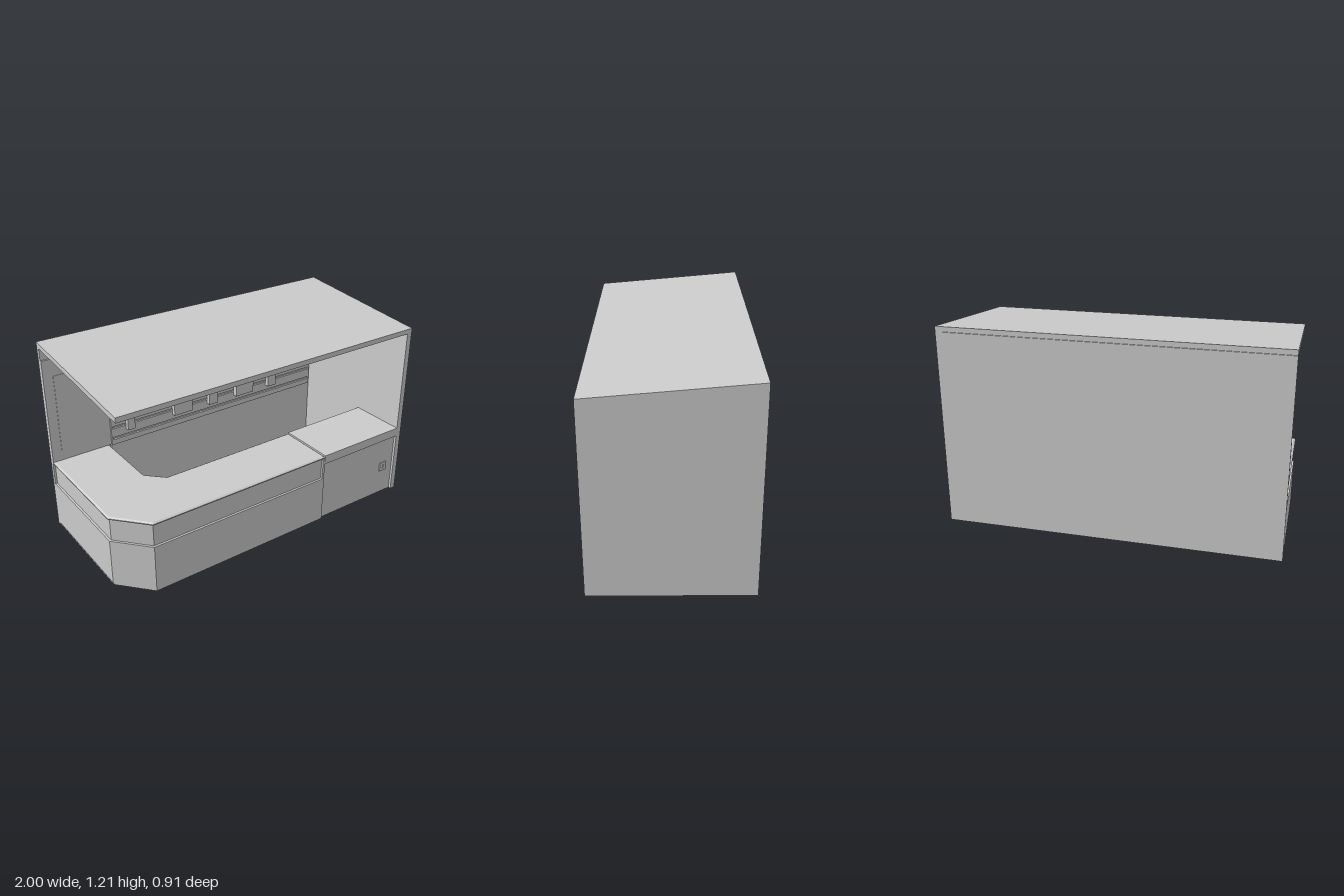
import * as THREE from 'three';

const grey = new THREE.MeshStandardMaterial({ color: 0xcccccc, flatShading: true });

function add(parent, name, geometry) {
  const mesh = new THREE.Mesh(geometry, grey);
  mesh.name = name;
  parent.add(mesh);
  return mesh;
}

// Box given by its extents on each axis
function box(parent, name, x0, x1, y0, y1, z0, z1) {
  const mesh = add(parent, name, new THREE.BoxGeometry(x1 - x0, y1 - y0, z1 - z0));
  mesh.position.set((x0 + x1) / 2, (y0 + y1) / 2, (z0 + z1) / 2);
  return mesh;
}

// Floor plan of [x, z] points raised from y0 to y1, optionally bevelled
function plan(parent, name, points, y0, y1, bevel = 0) {
  const shape = new THREE.Shape(points.map(([x, z]) => new THREE.Vector2(x, -z)));
  const t = bevel / 2;
  const geometry = new THREE.ExtrudeGeometry(shape, {
    depth: y1 - y0 - 2 * t, bevelEnabled: bevel > 0, bevelSegments: 1,
    bevelSize: bevel, bevelOffset: -bevel, bevelThickness: t,
  });
  geometry.rotateX(-Math.PI / 2).translate(0, y0 + t, 0);
  return add(parent, name, geometry);
}

// Side profile of [z, y] points stretched from x0 to x1
function profile(parent, name, points, x0, x1) {
  const shape = new THREE.Shape(points.map(([z, y]) => new THREE.Vector2(z, y)));
  const geometry = new THREE.ExtrudeGeometry(shape, { depth: x1 - x0, bevelEnabled: false });
  geometry.rotateY(-Math.PI / 2).translate(x1, 0, 0);
  return add(parent, name, geometry);
}

const F = 0.457;      // front and back limit
const WALL = -0.43;   // inside of the back wall
const SIDE = 0.965;   // inside of the side wall

// L-shaped counter outline; inset pulls in the outer faces
function outer(inset, endX) {
  const c = inset * 0.4;
  return [[-1 + inset, WALL], [-1 + inset, 0.27 - c], [-0.83 + c, F - inset], [endX, F - inset]];
}
const inner = [[0.36, 0.1], [-0.53, 0.1], [-0.63, 0], [-0.63, WALL]];
// Inner outline with shallow recesses in both staff-side faces
const innerRecessed = [
  [0.36, 0.1], [0.33, 0.1], [0.33, 0.155], [-0.5, 0.155], [-0.5, 0.1], [-0.53, 0.1],
  [-0.63, 0], [-0.63, -0.03], [-0.685, -0.03], [-0.685, -0.39], [-0.63, -0.39], [-0.63, WALL],
];

function buildShell(group) {
  box(group, 'backWall', -1, SIDE, 0, 1.178, -F, WALL);
  profile(group, 'sideWall', [[-F, 0], [F, 0], [F, 1.1], [-F, 1.18]], SIDE, 1);
  profile(group, 'roof', [[-F, 1.18], [F, 1.1], [F, 1.13], [-F, 1.21]], -1, 1);
}

function buildCounter(group) {
  const counter = new THREE.Group();
  counter.name = 'counter';
  plan(counter, 'counterPlinth', [...outer(0.004, 0.36), ...inner], 0, 0.015);
  plan(counter, 'counterBase', [...outer(0, 0.36), ...innerRecessed], 0.015, 0.2);
  plan(counter, 'counterBody', [...outer(0, 0.36), ...inner], 0.2, 0.3);
  // recessed fascia band, ending in a flush post
  const band = [...outer(0.013, 0.345), [0.345, F], [0.36, F]];
  plan(counter, 'counterFascia', [...band, ...inner], 0.3, 0.435);
  plan(counter, 'counterTop', [...outer(0, 0.36), ...inner], 0.435, 0.453, 0.012);
  group.add(counter);
}

function buildGate(group) {
  const gate = new THREE.Group();
  gate.name = 'gate';
  box(gate, 'gateDoor', 0.37, 0.96, 0.005, 0.396, 0.405, 0.445);
  box(gate, 'gateFlap', 0.362, SIDE, 0.4, 0.457, 0.1, F);
  box(gate, 'lockPlate', 0.85, 0.905, 0.17, 0.23, 0.44, 0.452);
  box(gate, 'lockSlot', 0.873, 0.882, 0.187, 0.213, 0.45, 0.456);
  group.add(gate);
}

function buildDisplay(group) {
  // slatted wall: backing sheet, boards and grooves between them
  const display = new THREE.Group();
  display.name = 'slatDisplay';
  const x0 = -0.615, x1 = 0.955, front = -0.408;
  box(display, 'slatBacking', x0, x1, 0.45, 1.105, WALL, -0.42);
  const edges = [0.45];
  for (let i = 0; i < 9; i++) edges.push(0.485 + i * 0.0742, 0.5 + i * 0.0742);
  edges.push(1.105);
  for (let i = 0; i < edges.length; i += 2) {
    box(display, 'slatBoard', x0, x1, edges[i], edges[i + 1], -0.42, front);
  }
  for (const [a, b] of [[x0, x0 + 0.008], [x1 - 0.008, x1]]) {
    box(display, 'slatEnd', a, b, 0.45, 1.105, -0.42, front);
  }
  box(display, 'lowerWallPanel', x0, SIDE, 0, 0.45, WALL, -0.42);

  // goods hanging from the grooves: [centre x, width] per row
  const rows = [
    [1.015, [[0.155, 0.07], [0.37, 0.14], [0.6, 0.065]]],
    [0.793, [[-0.49, 0.05], [-0.343, 0.065], [-0.228, 0.065], [0.152, 0.135],
      [0.535, 0.05], [0.683, 0.065], [0.798, 0.065]]],
    [0.643, [[-0.49, 0.05], [-0.113, 0.135], [0.118, 0.065], [0.37, 0.14], [0.598, 0.065]]],
  ];
  for (const [top, items] of rows) {
    for (const [x, w] of items) {
      box(display, 'hangingItem', x - w / 2, x + w / 2, top - 0.107, top, front, front + 0.03);
    }
  }
  group.add(display);

  // side panel with a framed poster
  box(group, 'posterPanel', -1, x0, 0.45, 1.105, WALL, -0.42);
  box(group, 'poster', -0.94, -0.69, 0.52, 1.0, -0.42, -0.417);
}

export function createModel() {
  const group = new THREE.Group();
  group.name = 'kiosk';
  buildShell(group);
  buildCounter(group);
  buildGate(group);
  buildDisplay(group);
  return group;
}
